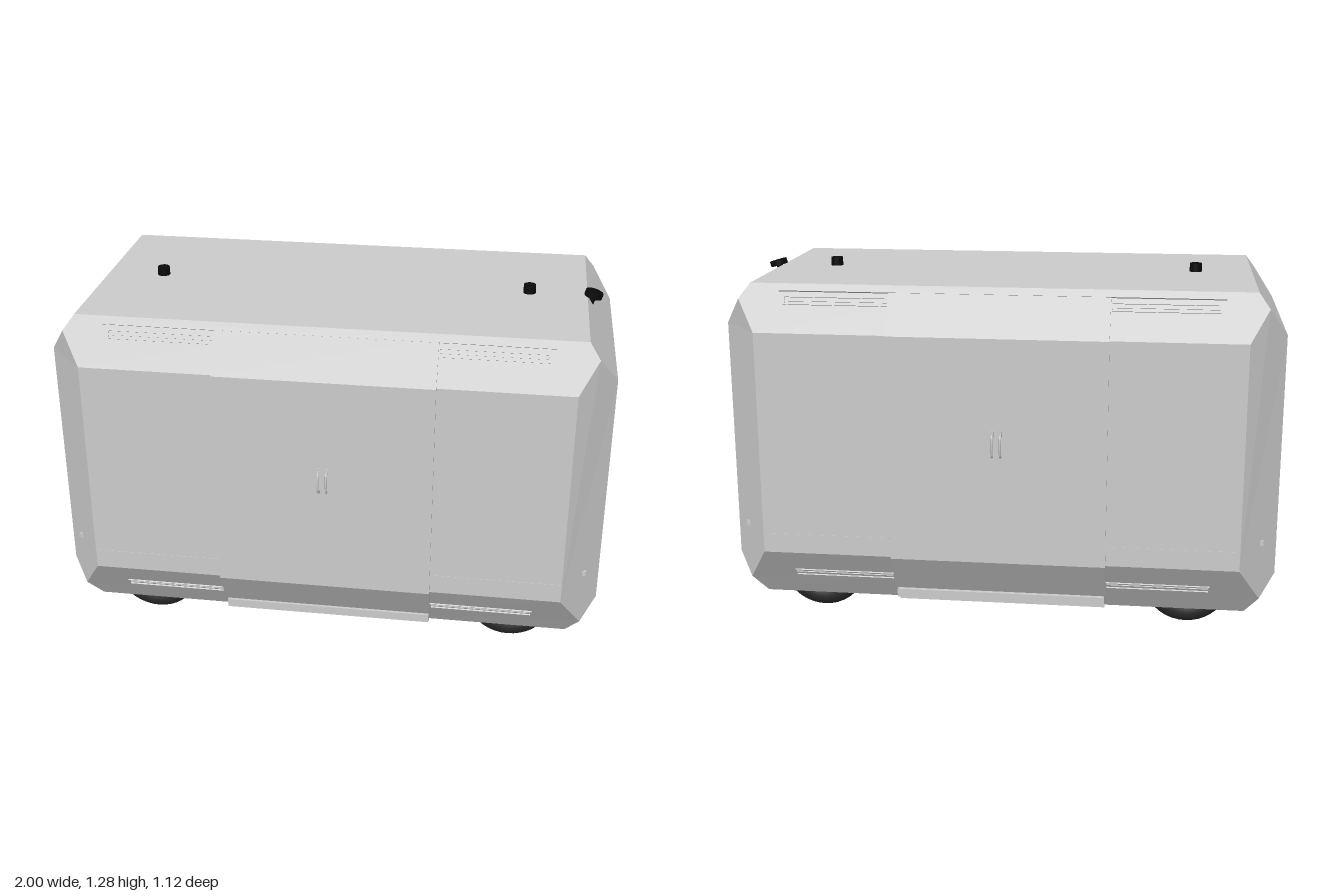
import * as THREE from 'three';

const mat = (color, side = THREE.FrontSide) => new THREE.MeshStandardMaterial({ color, side });
const grey = mat(0xcccccc);
const shellMat = mat(0xcccccc, THREE.DoubleSide);
const dark = mat(0x666666);
const rubber = mat(0x2a2a2a);
const black = mat(0x0a0a0a);

function add(parent, name, geometry, material, x = 0, y = 0, z = 0) {
  const mesh = new THREE.Mesh(geometry, material);
  mesh.name = name;
  mesh.position.set(x, y, z);
  parent.add(mesh);
  return mesh;
}

const box = (parent, name, w, h, d, x, y, z, material = grey) =>
  add(parent, name, new THREE.BoxGeometry(w, h, d), material, x, y, z);

// Chamfered hull, open underneath: one quadrant mirrored to four
function shellGeometry() {
  const top = [0.893, 1.253, 0.435], upTip = [0.931, 1.2, 0.464];
  const f1 = [0.865, 1.09, 0.525], f0 = [0.865, 0.268, 0.525];
  const e1 = [1, 1.097, 0.385], e0 = [1, 0.215, 0.385];
  const lowTip = [0.944, 0.135, 0.443], bottom = [0.895, 0.065, 0.4];
  const midX = ([, y, z]) => [0, y, z];
  const midZ = ([x, y]) => [x, y, 0];
  const faces = [
    [[0, 1.253, 0], midX(top), top, midZ(top)],            // roof
    [midX(f1), f1, upTip, top, midX(top)],                 // upper long chamfer
    [midX(f0), f0, f1, midX(f1)],                          // long wall
    [midX(bottom), bottom, lowTip, f0, midX(f0)],          // lower long chamfer
    [f0, lowTip, e0, e1, upTip, f1],                       // corner chamfer
    [e1, midZ(e1), midZ(top), top, upTip],                 // upper end chamfer
    [e0, midZ(e0), midZ(e1), e1],                          // end wall
    [bottom, midZ(bottom), midZ(e0), e0, lowTip],          // lower end chamfer
  ];
  const pos = [];
  for (const sx of [1, -1]) for (const sz of [1, -1]) for (const face of faces) {
    const f = face.map(([x, y, z]) => [x * sx, y, z * sz]);
    if (sx * sz < 0) f.reverse();
    for (let i = 1; i < f.length - 1; i++) pos.push(...f[0], ...f[i], ...f[i + 1]);
  }
  const g = new THREE.BufferGeometry();
  g.setAttribute('position', new THREE.Float32BufferAttribute(pos, 3));
  g.computeVertexNormals();
  return g;
}

// Sliding door folded over the three planes of the long wall
function doorGeometry() {
  const profile = [[0.45, 1.243], [0.535, 1.09], [0.535, 0.265], [0.447, 0.118],
    [0.43, 0.128], [0.515, 0.27], [0.515, 1.085], [0.433, 1.233]];
  const shape = new THREE.Shape(profile.map(p => new THREE.Vector2(...p)));
  const g = new THREE.ExtrudeGeometry(shape, { depth: 0.78, bevelEnabled: false });
  return g.rotateY(-Math.PI / 2).translate(0.39, 0, 0);
}

// Everything fitted to one long side
function createSide() {
  const side = new THREE.Group();
  const upTilt = -0.505, lowTilt = 0.547;
  add(side, 'slidingDoor', doorGeometry(), grey);
  box(side, 'roofRail', 1.57, 0.018, 0.02, 0, 1.234, 0.446).rotation.x = upTilt;
  box(side, 'step', 0.77, 0.032, 0.06, 0, 0.096, 0.419);
  box(side, 'stepBase', 0.77, 0.03, 0.05, 0, 0.07, 0.378);
  for (const s of [1, -1]) {
    // Guide tracks: a frame with a thin rib
    for (const [y, z, tilt] of [[1.197, 0.466, upTilt], [0.172, 0.466, lowTilt]]) {
      const track = new THREE.Group();
      track.name = 'doorTrack';
      track.position.set(s * 0.578, y, z);
      track.rotation.x = tilt;
      for (const e of [1, -1]) {
        box(track, 'trackEdge', 0.375, 0.004, 0.01, 0, e * 0.014, 0);
        box(track, 'trackEnd', 0.004, 0.028, 0.01, e * 0.1855, 0, 0);
      }
      box(track, 'trackRib', 0.375, 0.006, 0.007, 0, 0, 0);
      side.add(track);
    }
    // Door handle
    const path = new THREE.CatmullRomCurve3([[0.668, 0.53], [0.67, 0.55], [0.682, 0.556],
      [0.732, 0.556], [0.744, 0.55], [0.746, 0.53]].map(([y, z]) => new THREE.Vector3(s * 0.015, y, z)));
    add(side, 'doorHandle', new THREE.TubeGeometry(path, 30, 0.004, 8), grey);
    for (const y of [0.665, 0.749]) box(side, 'handleFoot', 0.009, 0.02, 0.006, s * 0.015, y, 0.536);
    // Panel seam
    box(side, 'panelSeam', 0.47, 0.003, 0.003, s * 0.63, 0.34, 0.525);
  }
  return side;
}

function createWheel() {
  const wheel = new THREE.Group();
  wheel.name = 'wheel';
  const lathe = pts => new THREE.LatheGeometry(pts.map(p => new THREE.Vector2(...p)), 40).rotateX(Math.PI / 2);
  add(wheel, 'tyre', lathe([[0.09, -0.066], [0.1, -0.078], [0.125, -0.083], [0.146, -0.078], [0.159, -0.062],
    [0.164, -0.035], [0.165, 0], [0.164, 0.035], [0.159, 0.062], [0.146, 0.078], [0.125, 0.083],
    [0.1, 0.078], [0.09, 0.066]]), rubber);
  add(wheel, 'rim', lathe([[0.001, -0.045], [0.05, -0.045], [0.068, -0.035], [0.08, -0.06], [0.094, -0.07],
    [0.094, 0.07], [0.08, 0.06], [0.068, 0.035], [0.05, 0.045], [0.001, 0.045]]), grey);
  add(wheel, 'hub', new THREE.CylinderGeometry(0.024, 0.024, 0.12, 20).rotateX(Math.PI / 2), grey);
  for (let i = 0; i < 5; i++) {
    const a = i * Math.PI * 2 / 5;
    add(wheel, 'wheelBolt', new THREE.CylinderGeometry(0.006, 0.006, 0.106, 6).rotateX(Math.PI / 2), grey,
      0.038 * Math.cos(a), 0.038 * Math.sin(a), 0);
  }
  return wheel;
}

export function createModel() {
  const model = new THREE.Group();
  model.name = 'shuttle';
  add(model, 'bodyShell', shellGeometry(), shellMat);

  const front = createSide();
  front.name = 'frontSide';
  const back = createSide();
  back.name = 'backSide';
  back.rotation.y = Math.PI;
  model.add(front, back);

  // Underside: cabin floor, battery tray and its ribs
  box(model, 'cabinFloor', 1.9, 0.02, 0.9, 0, 0.35, 0);
  box(model, 'batteryTray', 0.87, 0.25, 0.68, 0, 0.205, 0, dark);
  for (const x of [-0.15, 0.15]) box(model, 'trayRib', 0.006, 0.006, 0.68, x, 0.08, 0, dark);

  for (const s of [1, -1]) {
    // Axle with its drive housing
    box(model, 'driveHousing', 0.24, 0.16, 0.3, s * 0.684, 0.22, 0, dark);
    for (let i = -2; i <= 2; i++) box(model, 'housingFin', 0.01, 0.01, 0.2, s * 0.684 + i * 0.035, 0.137, 0, dark);
    add(model, 'axle', new THREE.CylinderGeometry(0.025, 0.025, 0.6, 16).rotateX(Math.PI / 2), grey, s * 0.684, 0.165, 0);
    box(model, 'crossMember', 0.03, 0.05, 0.72, s * 0.47, 0.12, 0);
    for (const z of [0.311, -0.311]) {
      const wheel = createWheel();
      wheel.position.set(s * 0.684, 0.165, z);
      model.add(wheel);
    }
    // Seams of the end panels
    box(model, 'endSeam', 0.003, 0.003, 0.77, s, 0.34, 0);
    for (const z of [0.228, -0.228]) {
      box(model, 'endPanelSeam', 0.003, 0.125, 0.003, s, 0.278, z);
      box(model, 'lowerPanelSeam', 0.003, 0.183, 0.003, s * 0.9475, 0.14, z).rotation.z = -s * 0.611;
    }
    // Roof sensor
    add(model, 'roofSensor', new THREE.CylinderGeometry(0.022, 0.023, 0.034, 24), black, s * 0.684, 1.267, 0);
  }

  // Tilted sensor on the roof edge
  const sensor = new THREE.Group();
  sensor.name = 'edgeSensor';
  sensor.position.set(0.915, 1.259, 0);
  sensor.rotation.z = -0.27;
  add(sensor, 'sensorDisc', new THREE.CylinderGeometry(0.033, 0.033, 0.02, 28), black);
  add(sensor, 'sensorStem', new THREE.CylinderGeometry(0.012, 0.012, 0.04, 16), black, 0, -0.02, 0);
  model.add(sensor);

  return model;
}
